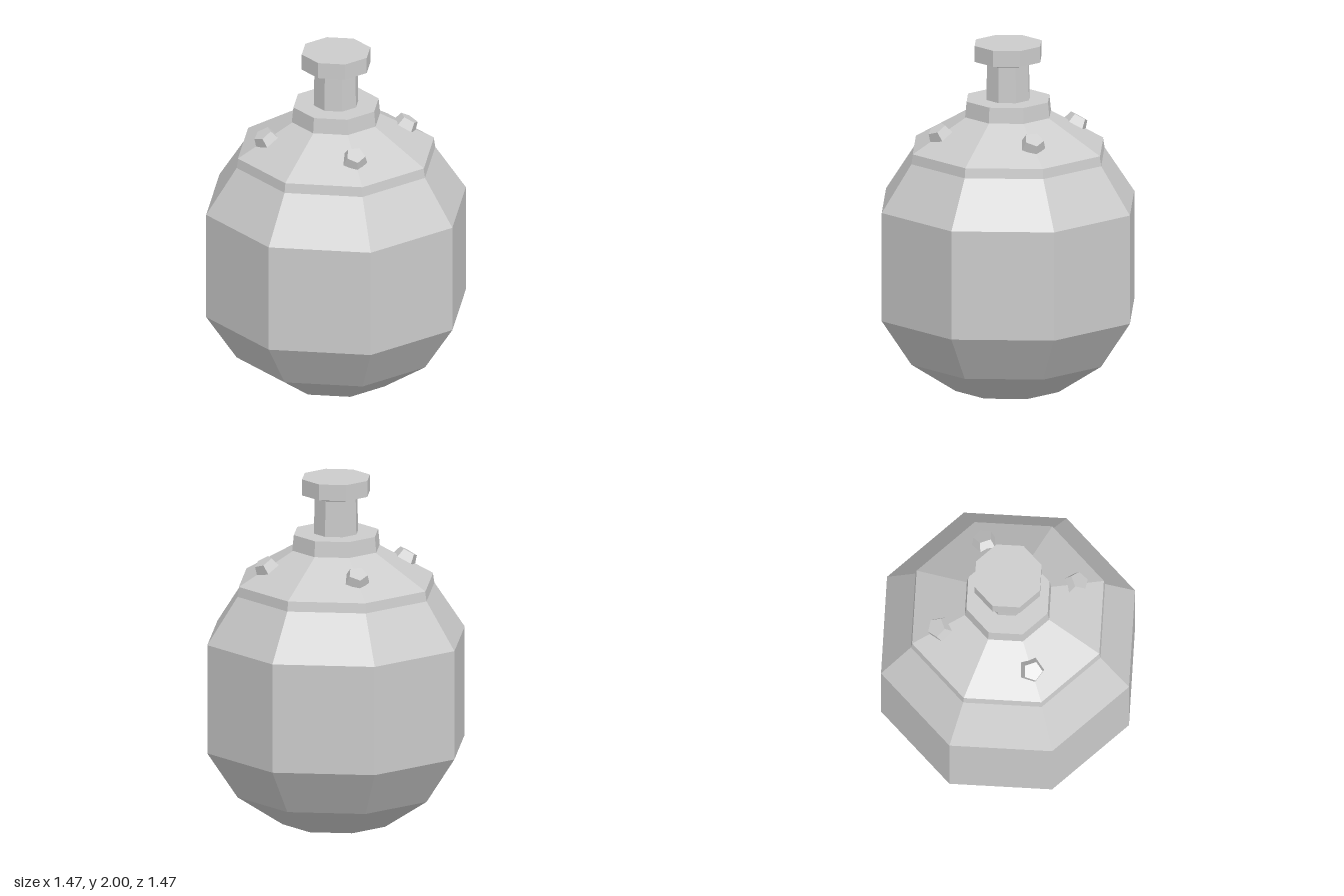
import * as THREE from 'three';

const SIDES = 8;
const material = new THREE.MeshStandardMaterial({ color: 0xcccccc, flatShading: true });

// Eight-sided turned part from [radius, height] pairs, bottom to top.
function turned(name, profile) {
  const points = profile.map(([r, y]) => new THREE.Vector2(r, y));
  const mesh = new THREE.Mesh(new THREE.LatheGeometry(points, SIDES), material);
  mesh.name = name;
  return mesh;
}

export function createModel() {
  const model = new THREE.Group();
  model.name = 'flask';

  // Faceted round body with a narrow band under the shoulder
  model.add(turned('body', [
    [0, 0], [0.305, 0.065], [0.562, 0.235], [0.735, 0.495],
    [0.735, 1.105], [0.562, 1.365], [0.553, 1.42],
  ]));

  // Sloping shoulder
  const low = { r: 0.555, y: 1.42 };
  const high = { r: 0.24, y: 1.605 };
  model.add(turned('shoulder', [[low.r, low.y], [high.r, high.y]]));

  // Collar, neck and stopper
  model.add(turned('collar', [[0.2, 1.603], [0.25, 1.603], [0.241, 1.69], [0, 1.69]]));
  model.add(turned('neck', [[0.126, 1.69], [0.122, 1.9]]));
  model.add(turned('stopper', [[0, 1.89], [0.122, 1.89], [0.194, 1.91], [0.194, 2], [0, 2]]));

  // Four five-sided studs, tilted to sit on the shoulder ridges
  const tilt = Math.atan2(low.y - high.y, low.r - high.r) * -1;
  const studRadius = 0.393;
  const studY = low.y + (low.r - studRadius) * Math.tan(tilt);
  const studGeometry = new THREE.CylinderGeometry(0.054, 0.071, 0.052, 5);
  studGeometry.translate(0, 0.018, 0);
  studGeometry.rotateX(tilt);
  studGeometry.translate(0, studY, studRadius);
  for (let i = 0; i < 4; i++) {
    const stud = new THREE.Mesh(studGeometry, material);
    stud.name = `stud${i + 1}`;
    stud.rotation.y = (i * Math.PI) / 2;
    model.add(stud);
  }

  return model;
}
